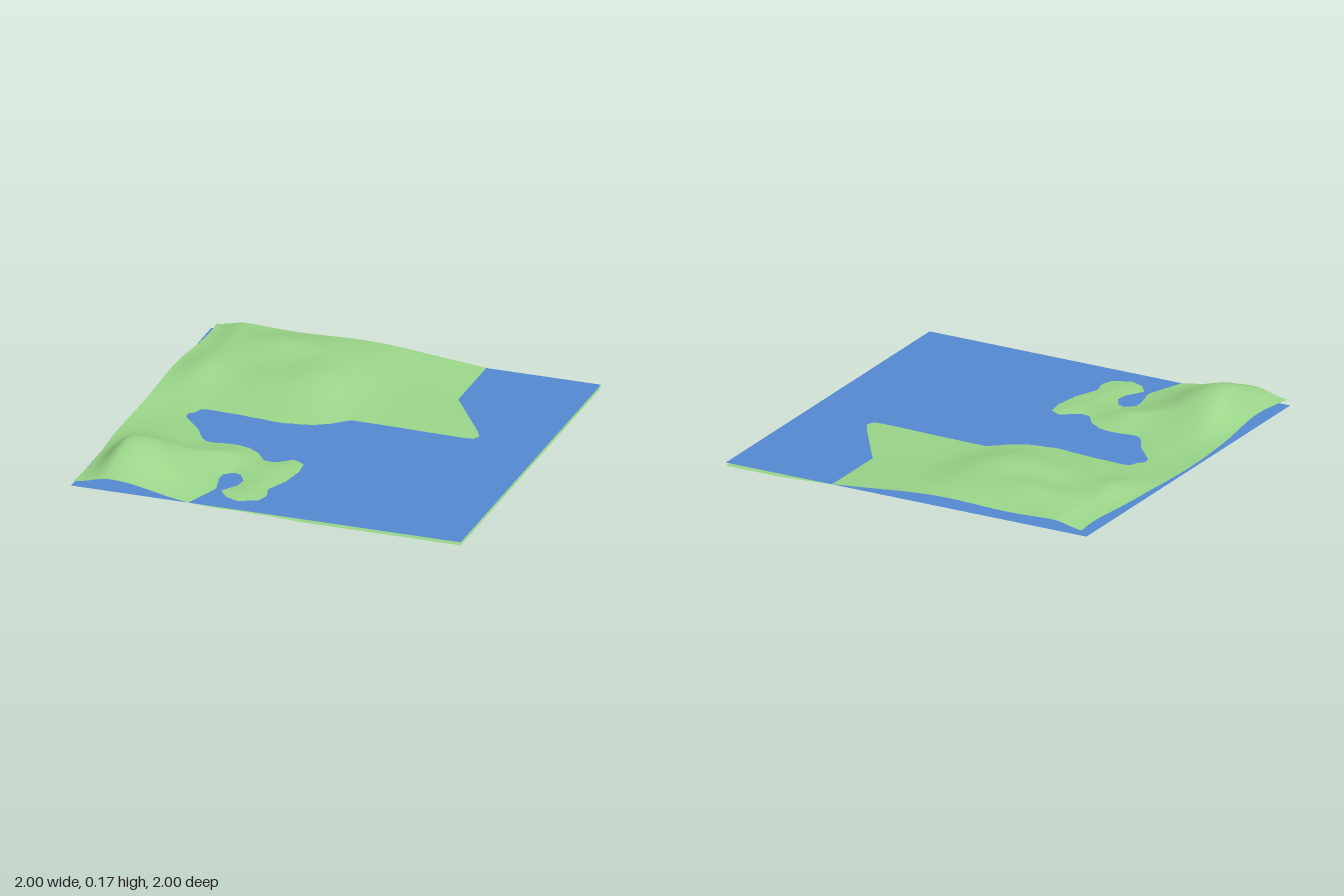
import * as THREE from 'three';

const WATER_Y = 0.016;

// Shoreline as x, z pairs; it runs past the square where the land does
const SHORE = [
  0.41, -1.4, 0.41, -0.6, 0.63, -0.27, 0.655, -0.22, 0.64, -0.185, 0.6, -0.18,
  0.01, -0.195, -0.07, -0.12, -0.15, -0.075, -0.3, -0.05, -0.4, -0.06, -0.5, -0.07,
  -0.68, -0.08, -0.72, -0.07, -0.73, -0.03, -0.76, 0, -0.755, 0.04, -0.65, 0.16,
  -0.6, 0.25, -0.57, 0.28, -0.53, 0.285, -0.42, 0.27, -0.35, 0.285, -0.28, 0.33,
  -0.23, 0.4, -0.19, 0.41, -0.15, 0.395, -0.09, 0.345, -0.03, 0.38, -0.02, 0.47,
  -0.04, 0.6, -0.09, 0.72, -0.07, 0.8, -0.09, 0.86, -0.18, 0.9, -0.25, 0.87,
  -0.295, 0.81, -0.24, 0.72, -0.235, 0.66, -0.27, 0.6, -0.31, 0.585, -0.36, 0.63,
  -0.36, 0.67, -0.33, 0.8, -0.4, 1, -0.5, 1.4, -1.6, 1.4, -1.6, -1.4,
];

// Hills: x, z, height, spread in x, spread in z
const HILLS = [
  [-0.77, 0.71, 0.137, 0.18, 0.19],
  [-0.22, -0.52, 0.058, 0.15, 0.22],
  [-0.56, -0.77, 0.06, 0.17, 0.12],
  [-0.48, -0.42, 0.03, 0.14, 0.13],
  [-0.87, -0.46, 0.04, 0.13, 0.13],
  [-0.85, -0.95, 0.03, 0.15, 0.15],
  [-0.2, -1, 0.025, 0.25, 0.2],
  [-0.4, 0.43, 0.025, 0.1, 0.1],
  [-0.95, 0.05, -0.015, 0.15, 0.15],
];

const bell = (t, spread) => Math.exp(-0.5 * (t / spread) ** 2);

// Distance to the shoreline, positive on land
function shoreDistance(x, z) {
  let best = Infinity, inside = false;
  for (let i = 0, n = SHORE.length; i < n; i += 2) {
    const ax = SHORE[i], az = SHORE[i + 1];
    const bx = SHORE[(i + 2) % n], bz = SHORE[(i + 3) % n];
    const dx = bx - ax, dz = bz - az;
    const t = THREE.MathUtils.clamp(((x - ax) * dx + (z - az) * dz) / (dx * dx + dz * dz), 0, 1);
    best = Math.min(best, Math.hypot(x - ax - t * dx, z - az - t * dz));
    if ((az > z) !== (bz > z) && x < ax + ((z - az) / dz) * dx) inside = !inside;
  }
  return inside ? best : -best;
}

function groundHeight(x, z) {
  const d = shoreDistance(x, z);
  if (d <= 0) return Math.max(0, WATER_Y * (1 + d / 0.3));
  let hills = 0;
  for (const [hx, hz, h, sx, sz] of HILLS) hills += h * bell(x - hx, sx) * bell(z - hz, sz);
  hills *= 1 - Math.exp(-d / 0.12);
  hills *= 0.15 + 0.85 * THREE.MathUtils.smoothstep(x, -1.04, -0.82);
  return WATER_Y + 0.03 * (1 - Math.exp(-d / 0.28)) + hills;
}

function flatGrid(segments) {
  return new THREE.PlaneGeometry(2, 2, segments, segments).rotateX(-Math.PI / 2);
}

export function createModel() {
  const model = new THREE.Group();
  model.name = 'coastalLandscape';

  // Land: one sheet that dips below the water
  const land = flatGrid(170);
  const p = land.attributes.position;
  for (let i = 0; i < p.count; i++) {
    const x = p.getX(i), z = p.getZ(i);
    // the west edge is drawn in beside the hills
    const inset = 0.033 * (bell(z + 0.88, 0.18) + bell(z - 0.75, 0.2));
    const fade = 1 - THREE.MathUtils.smoothstep(x, -1, -0.75);
    p.setXYZ(i, x + inset * fade, groundHeight(x, z), z);
  }
  land.computeVertexNormals();
  const landMesh = new THREE.Mesh(land, new THREE.MeshStandardMaterial({ color: 0x99d488, side: THREE.DoubleSide }));
  landMesh.name = 'land';
  model.add(landMesh);

  // Water: a flat square sheet
  const water = new THREE.Mesh(flatGrid(1), new THREE.MeshStandardMaterial({ color: 0x5588d0, side: THREE.DoubleSide }));
  water.name = 'water';
  water.position.y = WATER_Y;
  model.add(water);

  return model;
}
